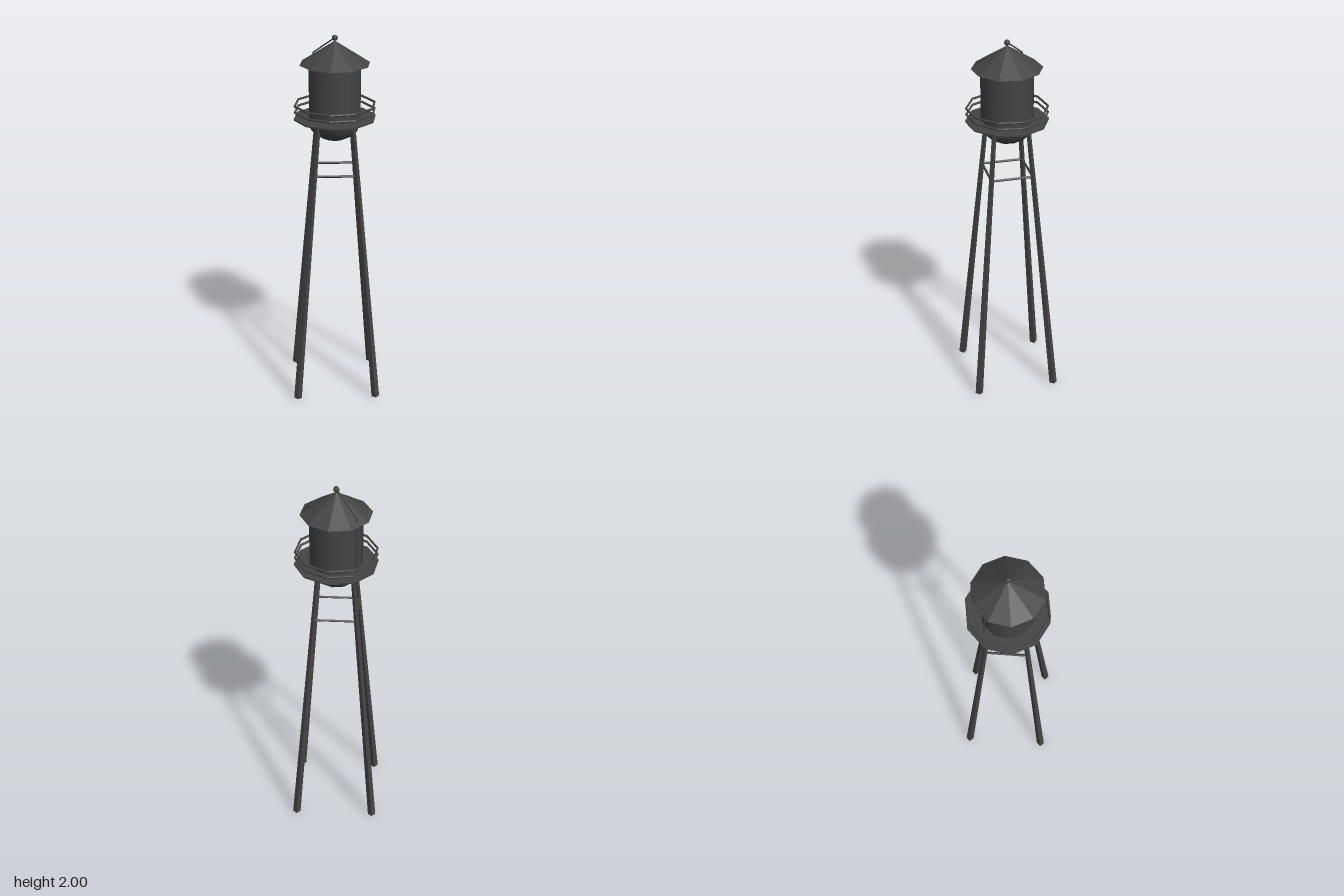
import * as THREE from 'three';

const SIDES = 10;
const flat = new THREE.MeshStandardMaterial({ color: 0x444444, flatShading: true });
const smooth = new THREE.MeshStandardMaterial({ color: 0x444444, side: THREE.DoubleSide });

export function createModel() {
  const model = new THREE.Group();
  const add = (name, geometry, material = flat) => {
    const mesh = new THREE.Mesh(geometry, material);
    mesh.name = name;
    model.add(mesh);
    return mesh;
  };

  // Square bar running between two points, with its own width at each end
  const bar = (name, a, b, widthA, widthB = widthA) => {
    const dir = b.clone().sub(a);
    const k = Math.SQRT1_2;
    const geometry = new THREE.CylinderGeometry(widthB * k, widthA * k, dir.length(), 4);
    geometry.rotateY(Math.PI / 4);
    const mesh = add(name, geometry);
    mesh.position.copy(a).add(b).multiplyScalar(0.5);
    mesh.quaternion.setFromUnitVectors(new THREE.Vector3(0, 1, 0), dir.normalize());
    return mesh;
  };

  // Tank wall with a rounded bowl underneath
  const profile = [];
  for (let i = 0; i <= 4; i++) {
    const t = (i / 4) * Math.PI / 2;
    profile.push(new THREE.Vector2(0.139 * Math.sin(t), 1.535 - 0.1 * Math.cos(t)));
  }
  const bowl = new THREE.LatheGeometry(profile, SIDES);
  bowl.rotateY(Math.PI / 2);
  add('tankBowl', bowl, smooth);
  const wall = new THREE.CylinderGeometry(0.139, 0.139, 0.32, SIDES, 1, true, Math.PI / 2);
  wall.translate(0, 1.695, 0);
  add('tankWall', wall, smooth);

  // Conical roof and its finial
  const roof = new THREE.CylinderGeometry(0, 0.187, 0.123, SIDES, 1, false, Math.PI / 2);
  roof.translate(0, 1.908, 0);
  add('roof', roof);
  const ball = new THREE.SphereGeometry(0.016, 8, 6);
  ball.translate(0, 1.984, 0);
  add('finial', ball, smooth);

  // Walkway and two guard rails
  const deck = new THREE.CylinderGeometry(0.22, 0.22, 0.008, SIDES, 1, false, Math.PI / 2);
  deck.translate(0, 1.557, 0);
  add('walkway', deck);
  for (const y of [1.595, 1.629]) {
    const rail = new THREE.TorusGeometry(0.214, 0.006, 6, SIDES);
    rail.rotateX(Math.PI / 2);
    rail.translate(0, y, 0);
    add('guardRail', rail);
  }

  // Four splayed legs, tied together by a square of struts
  const around = (r, y, i) => new THREE.Vector3(r, y, 0)
    .applyAxisAngle(new THREE.Vector3(0, 1, 0), i * Math.PI / 2);
  for (let i = 0; i < 4; i++) {
    const leg = bar('leg', new THREE.Vector3(0.304, 0.002, 0), new THREE.Vector3(0.126, 1.555, 0), 0.03, 0.017);
    leg.position.applyAxisAngle(new THREE.Vector3(0, 1, 0), i * Math.PI / 2);
    leg.quaternion.premultiply(new THREE.Quaternion()
      .setFromAxisAngle(new THREE.Vector3(0, 1, 0), i * Math.PI / 2));
    bar('strut', around(0.158, 1.265, i), around(0.158, 1.265, i + 1), 0.01);
  }

  // Access rail over the roof and down the back to the walkway
  const eave = new THREE.Vector3(0, 1.882, -0.153);
  bar('roofRail', new THREE.Vector3(0, 1.982, -0.005), eave, 0.006);
  bar('backRail', eave, new THREE.Vector3(0, 1.557, -0.153), 0.006);

  return model;
}
